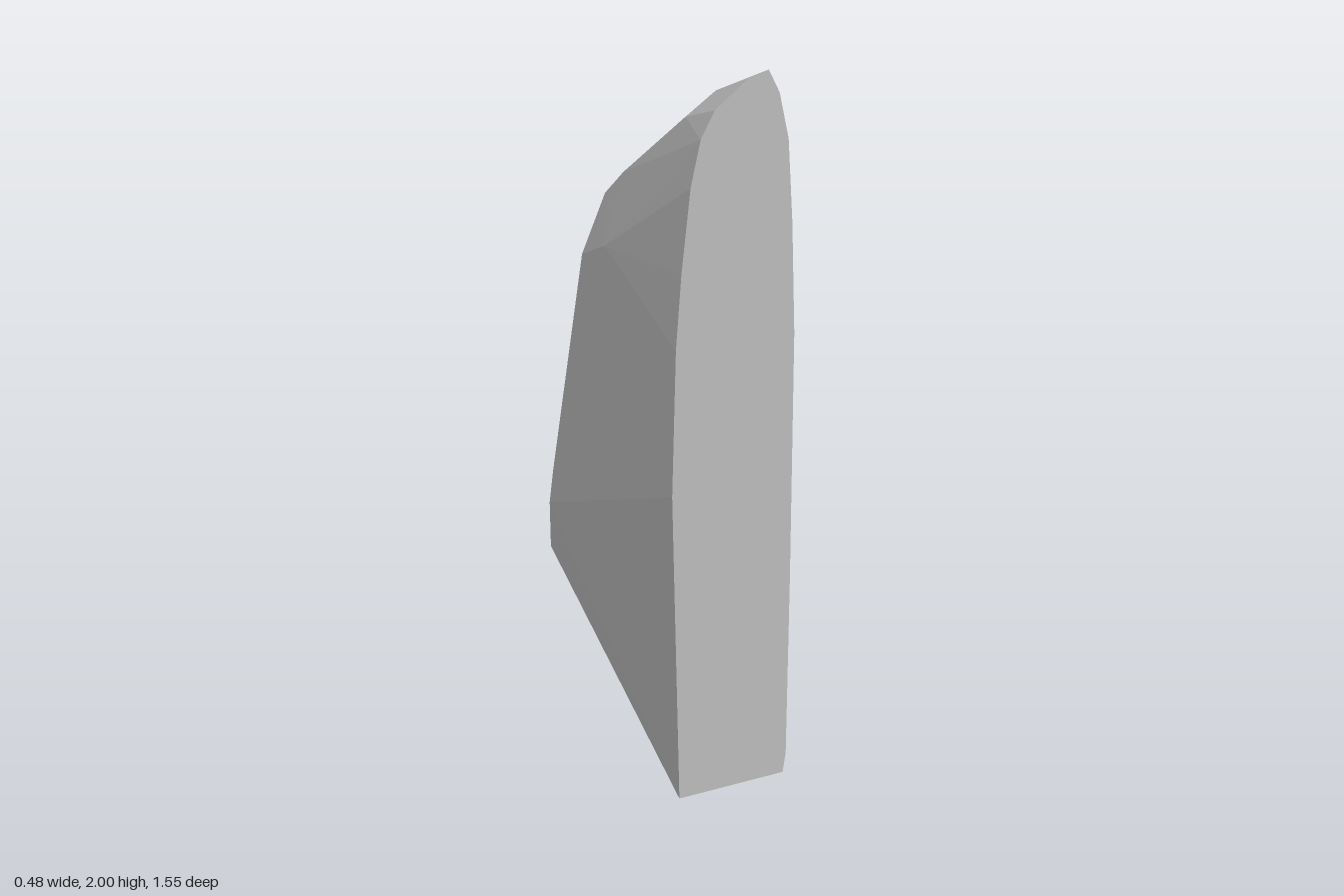
import * as THREE from 'three';
import { ConvexGeometry } from 'three/addons/geometries/ConvexGeometry.js';

// Leaning front face: depth follows one plane
const frontZ = (x, y) => 0.754 - 0.172 * x - 0.1125 * y;

// Flat cut faces, as x, y outlines
const frontOutline = [
  [-0.12, 0], [-0.12, 0.9], [-0.1, 1.3], [-0.08, 1.5], [-0.05, 1.72], [-0.02, 1.84],
  [0.02, 1.91], [0.11, 1.98], [0.17, 2], [0.2, 1.94], [0.225, 1.82], [0.235, 1.6],
  [0.24, 1.3], [0.225, 0.6], [0.21, 0.06], [0.2, 0],
];
const backOutline = [
  [-0.24, 0], [-0.24, 0.18], [-0.225, 0.3], [-0.177, 0.43], [-0.115, 0.55], [-0.04, 0.58],
  [0.036, 0.57], [0.05, 0.46], [0.046, 0.12], [0.025, 0.05], [0, 0],
];

// Ridge, shoulders and base between the two cut faces
const body = [
  [0.11, 1.885, 0.2], [0, 1.84, 0.3], [0.185, 1.78, 0.2],
  [0.05, 1.6, -0.2], [-0.07, 1.56, -0.2], [0.14, 1.42, -0.2], [-0.133, 1.33, -0.2],
  [0.005, 1.455, -0.4], [-0.09, 1.44, -0.4],
  [0.005, 1.34, -0.5], [-0.1, 1.325, -0.5], [0.09, 1.1, -0.5], [-0.145, 1.2, -0.53],
  [0.005, 1.125, -0.63], [-0.11, 1.125, -0.63], [0.07, 0.9, -0.63],
  [0.03, 0, -0.71],
];

export function createModel() {
  const stone = new THREE.MeshStandardMaterial({ color: 0xb4b4b4 });
  stone.name = 'stone grey';

  const points = [
    ...frontOutline.map(([x, y]) => new THREE.Vector3(x, y, frontZ(x, y))),
    ...backOutline.map(([x, y]) => new THREE.Vector3(x, y, -0.775)),
    ...body.map((p) => new THREE.Vector3(...p)),
  ];
  const slab = new THREE.Mesh(new ConvexGeometry(points), stone);
  slab.name = 'stoneSlab';

  const group = new THREE.Group();
  group.name = 'standingStone';
  group.add(slab);
  return group;
}
